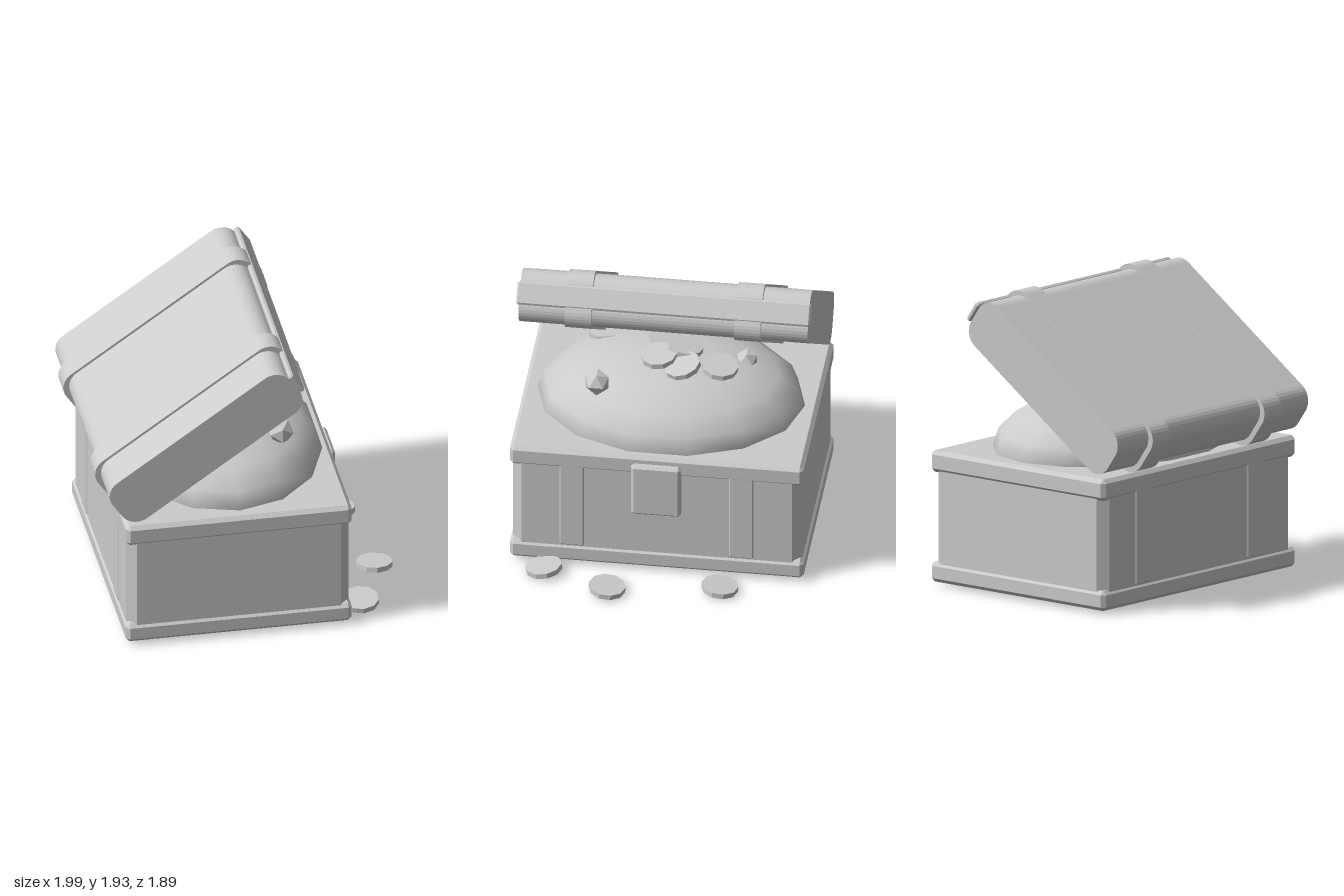
import * as THREE from 'three';
import { ConvexGeometry } from 'three/addons/geometries/ConvexGeometry.js';

const stone = new THREE.MeshStandardMaterial({ color: 0xcccccc });
stone.name = 'plainGrey';

// Box with chamfered edges, centred on its origin
function chamferBox(w, h, d, c) {
  const half = [w / 2, h / 2, d / 2];
  const points = [];
  for (const sx of [-1, 1]) for (const sy of [-1, 1]) for (const sz of [-1, 1]) {
    for (let full = 0; full < 3; full++) {
      const p = half.map((v, i) => (i === full ? v : v - c));
      points.push(new THREE.Vector3(p[0] * sx, p[1] * sy, p[2] * sz));
    }
  }
  return new ConvexGeometry(points);
}

// Rounded slab from s0..s1 by n0..n1, extruded along z and centred on it
function roundedSlab(s0, s1, n0, n1, r, depth) {
  const shape = new THREE.Shape();
  shape.absarc(s1 - r, n0 + r, r, -Math.PI / 2, 0);
  shape.absarc(s1 - r, n1 - r, r, 0, Math.PI / 2);
  shape.absarc(s0 + r, n1 - r, r, Math.PI / 2, Math.PI);
  shape.absarc(s0 + r, n0 + r, r, Math.PI, Math.PI * 1.5);
  shape.closePath();
  const g = new THREE.ExtrudeGeometry(shape, { depth, bevelEnabled: false, curveSegments: 4 });
  return g.translate(0, 0, -depth / 2);
}

function flat(geometry) {
  const g = geometry.index ? geometry.toNonIndexed() : geometry;
  g.computeVertexNormals();
  return g;
}

export function createModel() {
  const model = new THREE.Group();
  model.name = 'treasureChest';

  function add(parent, name, geometry, x = 0, y = 0, z = 0) {
    const mesh = new THREE.Mesh(geometry, stone);
    mesh.name = name;
    mesh.position.set(x, y, z);
    parent.add(mesh);
    return mesh;
  }

  // Chest body and its rims
  const cx = -0.12;
  add(model, 'chestBody', chamferBox(1.44, 0.76, 1.86, 0.06), cx, 0.45, 0);
  add(model, 'bottomRim', chamferBox(1.465, 0.13, 1.89, 0.025), cx, 0.09, 0);
  add(model, 'topRim', chamferBox(1.465, 0.14, 1.89, 0.025), cx, 0.81, 0);

  // Upright straps on the lock side and hinge side
  for (const z of [-0.545, 0.545]) {
    add(model, 'frontStrap', chamferBox(0.05, 0.64, 0.17, 0.015), 0.585, 0.465, z);
    add(model, 'backStrap', chamferBox(0.05, 0.64, 0.17, 0.015), -0.825, 0.465, z);
  }
  add(model, 'lockPlate', chamferBox(0.06, 0.375, 0.32, 0.018), 0.62, 0.64, 0);

  // Open lid, tilted about the z axis
  const lid = new THREE.Group();
  lid.name = 'lid';
  lid.rotation.z = THREE.MathUtils.degToRad(35);
  model.add(lid);
  add(lid, 'lidBody', roundedSlab(-0.165, 1.235, 1.175, 1.515, 0.115, 1.86));
  for (const z of [-0.545, 0.545]) {
    add(lid, 'lidStrap', roundedSlab(-0.2, 1.268, 1.16, 1.53, 0.115, 0.17), 0, 0, z);
  }
  add(lid, 'lidEdge', chamferBox(0.04, 0.15, 1.89, 0.012), 1.254, 1.354, 0);

  // Smooth heap of treasure
  const heap = new THREE.SphereGeometry(1, 14, 5, 0, Math.PI * 2, 0, Math.PI / 2);
  heap.rotateY(Math.PI / 2);
  heap.scale(0.677, 0.36, 0.86);
  add(model, 'treasureHeap', heap, -0.1, 0.88, 0);

  // Coins: position, then tilt about x and z
  const coin = flat(new THREE.CylinderGeometry(0.118, 0.118, 0.035, 10));
  const coins = [
    [0.77, 0.032, -0.43, -0.1, 0.04],
    [0.88, 0.04, 0.28, -0.1, -0.02],
    [0.71, 0.038, 0.71, 0.15, 0.02],
    [-0.08, 1.275, -0.09, -0.15, 0.1],
    [0.1, 1.255, -0.1, 0.25, -0.15],
    [-0.2, 1.25, 0.04, -0.1, 0.15],
    [0.02, 1.265, 0.06, 0.12, -0.1],
    [0.03, 1.22, -0.33, -0.1, -0.08],
    [-0.37, 1.145, 0.45, 0.1, 0.15],
  ];
  coins.forEach(([x, y, z, rx, rz], i) => {
    add(model, i < 3 ? 'looseCoin' : 'heapCoin', coin, x, y, z).rotation.set(rx, 0, rz);
  });

  // Gems
  add(model, 'gem', new THREE.IcosahedronGeometry(0.087), 0.245, 1.18, 0.43);
  add(model, 'gem', new THREE.IcosahedronGeometry(0.075), -0.15, 1.165, -0.48);

  return model;
}
